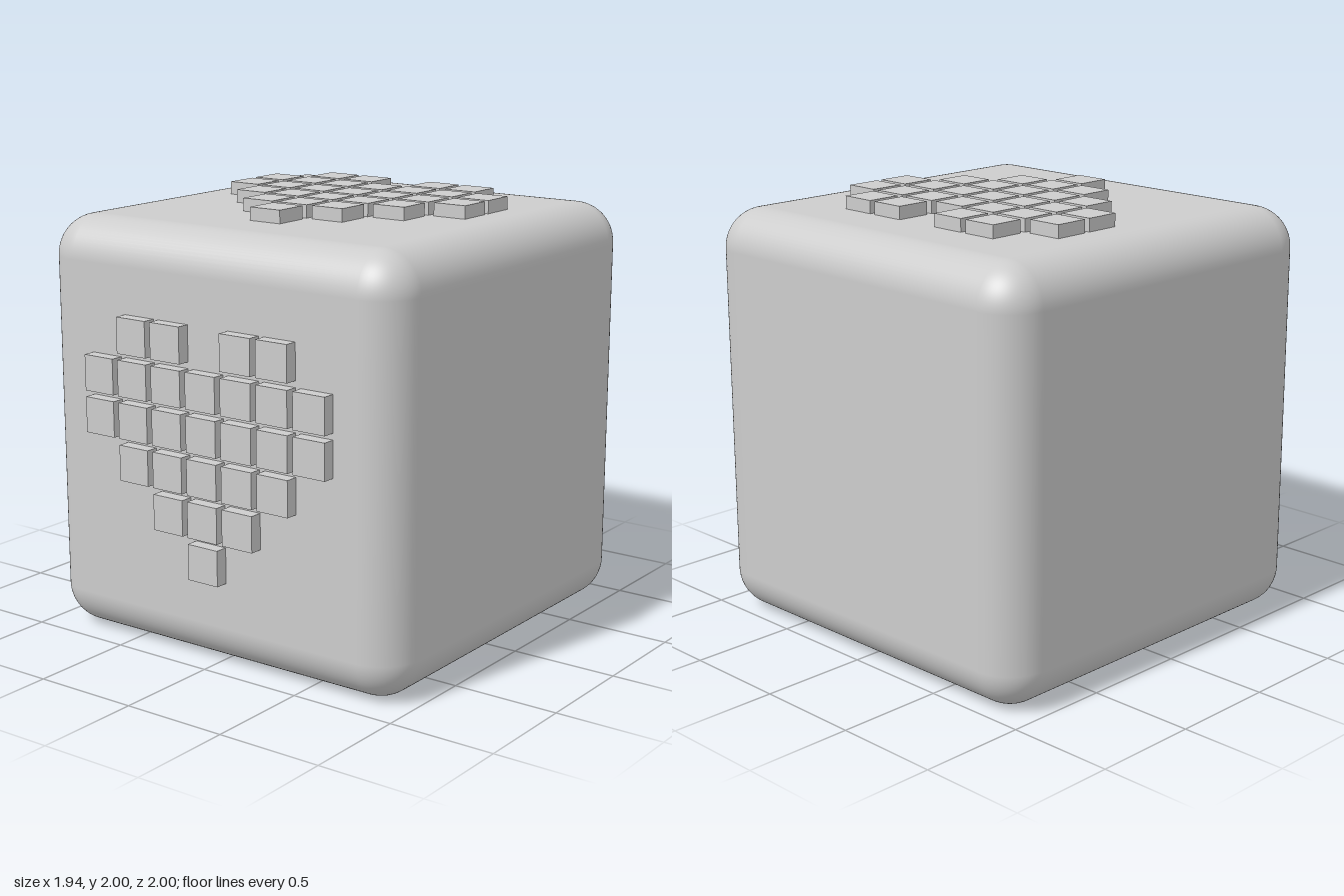
import * as THREE from 'three';
import { RoundedBoxGeometry } from 'three/addons/geometries/RoundedBoxGeometry.js';

const SIZE = 1.94, HALF = SIZE / 2, RADIUS = 0.19;
const CENTRE_Z = -0.03;                    // the front tiles push the body back
const PITCH = 0.194, TILE = 0.165, RAISE = 0.06, SUNK = 0.02;
const HOLE = 0.61, HOLE_DEPTH = 0.05;

const HEART = [
  '.XX.XX.',
  'XXXXXXX',
  'XXXXXXX',
  '.XXXXX.',
  '..XXX..',
  '...X...',
];

export function createModel() {
  const model = new THREE.Group();
  model.name = 'heartCube';
  const grey = new THREE.MeshStandardMaterial({ color: 0xcccccc });
  grey.name = 'light grey';

  const add = (parent, name, geometry) => {
    const mesh = new THREE.Mesh(geometry, grey);
    mesh.name = name;
    parent.add(mesh);
    return mesh;
  };

  // Rounded body, leaving out the flat underside
  const body = add(model, 'body', openUnderside(new RoundedBoxGeometry(SIZE, SIZE, SIZE, 8, RADIUS)));
  body.position.set(0, HALF, CENTRE_Z);

  // Underside with a shallow round recess
  const base = new THREE.Group();
  base.name = 'base';
  base.position.z = CENTRE_Z;
  model.add(base);
  const f = HALF - RADIUS;
  const plate = new THREE.Shape([[-f, -f], [f, -f], [f, f], [-f, f]].map(([x, y]) => new THREE.Vector2(x, y)));
  plate.holes.push(new THREE.Path().absarc(0, 0, HOLE, 0, Math.PI * 2, true));
  add(base, 'underside', new THREE.ShapeGeometry(plate, 32).rotateX(Math.PI / 2));
  add(base, 'recessWall', new THREE.LatheGeometry(
    [new THREE.Vector2(HOLE, HOLE_DEPTH), new THREE.Vector2(HOLE, 0)], 64));
  add(base, 'recessCeiling', new THREE.CircleGeometry(HOLE, 64).rotateX(Math.PI / 2))
    .position.y = HOLE_DEPTH;

  // Heart of square tiles on the front, and again on the top
  const front = createHeart(add, 'frontHeart');
  front.position.set(0, HALF, CENTRE_Z + HALF);
  const top = createHeart(add, 'topHeart');
  top.rotation.x = -Math.PI / 2;
  top.position.set(0, SIZE, CENTRE_Z);
  model.add(front, top);

  return model;
}

// Raised tiles in the xy plane, facing +z
function createHeart(add, name) {
  const heart = new THREE.Group();
  heart.name = name;
  const tile = new THREE.BoxGeometry(TILE, TILE, RAISE + SUNK);
  HEART.forEach((line, row) => [...line].forEach((cell, col) => {
    if (cell !== 'X') return;
    add(heart, 'tile', tile).position.set((col - 3) * PITCH, (2.5 - row) * PITCH, (RAISE - SUNK) / 2);
  }));
  return heart;
}

// Drops the triangles that lie flat on the bottom
function openUnderside(geometry) {
  const source = geometry.index ? geometry.toNonIndexed() : geometry;
  const p = source.attributes.position, n = source.attributes.normal;
  const positions = [], normals = [];
  for (let i = 0; i < p.count; i += 3) {
    if ([0, 1, 2].every((k) => p.getY(i + k) < -HALF + 1e-5)) continue;
    for (let k = i; k < i + 3; k++) {
      positions.push(p.getX(k), p.getY(k), p.getZ(k));
      normals.push(n.getX(k), n.getY(k), n.getZ(k));
    }
  }
  const open = new THREE.BufferGeometry();
  open.setAttribute('position', new THREE.Float32BufferAttribute(positions, 3));
  open.setAttribute('normal', new THREE.Float32BufferAttribute(normals, 3));
  return open;
}
